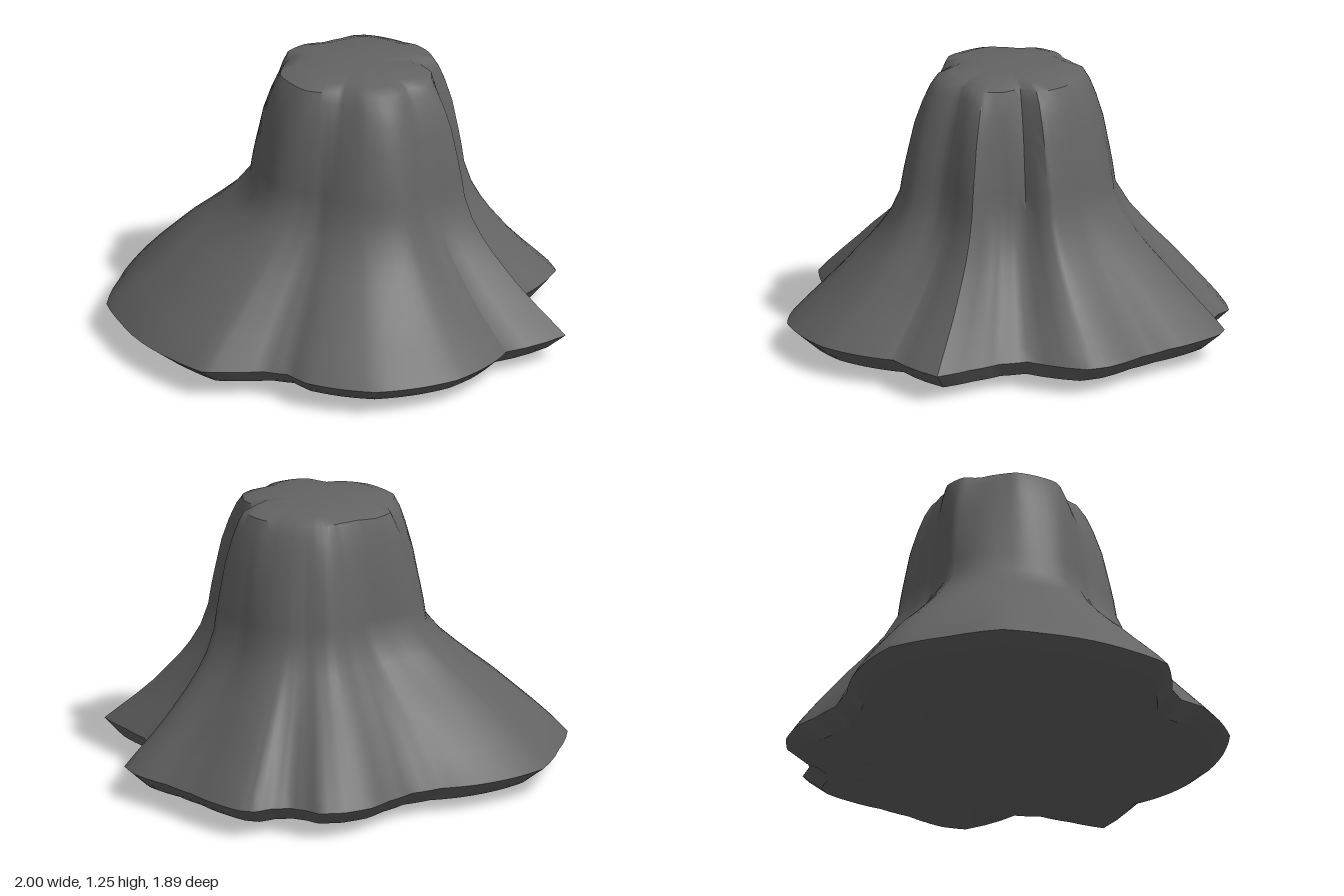
import * as THREE from 'three';
import { toCreasedNormals } from 'three/addons/utils/BufferGeometryUtils.js';

const CX = 0.08; // trunk axis

// outlines as x, z pairs, running from +x towards +z
const ROOTS = [
  0.81, 0, 0.9, 0.12, 1, 0.26, 0.77, 0.46, 0.76, 0.5, 0.69, 0.65, 0.6, 0.77, 0.45, 0.87,
  0.27, 0.94, 0.11, 0.93, -0.04, 0.89, -0.13, 0.815, -0.24, 0.8, -0.36, 0.825, -0.5, 0.84,
  -0.65, 0.73, -0.8, 0.58, -0.92, 0.39, -1, 0.22, -0.98, -0.03, -0.93, -0.29, -0.82, -0.41,
  -0.66, -0.52, -0.51, -0.575, -0.39, -0.65, -0.3, -0.76, -0.23, -0.86, -0.12, -0.93,
  -0.01, -0.95, 0.05, -0.91, 0.12, -0.885, 0.2, -0.9, 0.27, -0.945, 0.34, -0.93, 0.44, -0.85,
  0.56, -0.72, 0.67, -0.61, 0.82, -0.48, 0.87, -0.38, 0.77, -0.12,
];
const WAIST = [
  0.45, 0, 0.48, 0.06, 0.55, 0.14, 0.46, 0.21, 0.39, 0.28, 0.33, 0.41, 0.25, 0.45, 0.15, 0.46,
  0.05, 0.44, -0.05, 0.39, -0.13, 0.37, -0.26, 0.32, -0.35, 0.21, -0.39, 0.09, -0.41, -0.05,
  -0.37, -0.15, -0.27, -0.22, -0.18, -0.28, -0.1, -0.38, -0.03, -0.46, 0.08, -0.46,
  0.16, -0.46, 0.25, -0.43, 0.37, -0.33, 0.45, -0.26, 0.5, -0.21, 0.43, -0.09,
];
const CROWN = [
  0.38, 0, 0.39, 0.09, 0.36, 0.14, 0.3, 0.18, 0.27, 0.24, 0.2, 0.29, 0.13, 0.3, 0.07, 0.27,
  0.03, 0.25, -0.06, 0.27, -0.13, 0.26, -0.2, 0.2, -0.26, 0.12, -0.26, 0.05, -0.24, -0.05,
  -0.26, -0.12, -0.2, -0.2, -0.12, -0.23, -0.05, -0.28, 0, -0.32, 0.05, -0.33, 0.15, -0.31,
  0.22, -0.28, 0.28, -0.26, 0.34, -0.2, 0.37, -0.14, 0.32, -0.07,
];

// turns an outline into [angle, radius] pairs around the axis, closed at a full turn
function toPolar(outline) {
  const polar = [];
  for (let i = 0; i < outline.length; i += 2) {
    const x = outline[i] - CX, z = outline[i + 1];
    polar.push([(Math.atan2(z, x) + Math.PI * 2) % (Math.PI * 2), Math.hypot(x, z)]);
  }
  polar.push([Math.PI * 2, polar[0][1]]);
  return polar;
}

function radiusAt(polar, angle) {
  let i = 1;
  while (i < polar.length - 1 && polar[i][0] < angle) i++;
  const [a0, r0] = polar[i - 1], [a1, r1] = polar[i];
  return THREE.MathUtils.lerp(r0, r1, (angle - a0) / (a1 - a0));
}

export function createModel() {
  const [roots, waist, crown] = [ROOTS, WAIST, CROWN].map(toPolar);

  // columns follow the root outline so its corners stay sharp
  const angles = [];
  for (let i = 0; i < roots.length - 1; i++) {
    for (let k = 0; k < 3; k++) angles.push(THREE.MathUtils.lerp(roots[i][0], roots[i + 1][0], k / 3));
  }

  // each ring: height and a radius for every angle
  const rings = [];
  const ring = (y, radius) => rings.push({ y, radius });
  const mix = (lower, upper, blend) => (a) => THREE.MathUtils.lerp(radiusAt(lower, a), radiusAt(upper, a), blend);

  // shallow underside
  [[0, 0], [0.028, 0.5], [0.052, 0.91]].forEach(([y, s]) => ring(y, (a) => s * radiusAt(roots, a)));
  // flaring roots, fuller on the -x side and more hollow on the +x side
  [[0.125, 0], [0.18, 0.1], [0.25, 0.24], [0.33, 0.4], [0.4, 0.53], [0.46, 0.65], [0.52, 0.76], [0.6, 0.89], [0.7, 1]]
    .forEach(([y, b]) => {
      const flare = mix(roots, waist, b), lean = 4 * b * (1 - b);
      ring(y, (a) => flare(a) - lean * (0.04 * Math.cos(a) + 0.012 * Math.sin(a)));
    });
  // trunk
  [[0.78, 0.08], [0.85, 0.17], [1, 0.38], [1.1, 0.6], [1.17, 0.8], [1.217, 1]]
    .forEach(([y, b]) => ring(y, mix(waist, crown, b)));
  // cut top
  [[1.24, 0.8], [1.247, 0.4], [1.25, 0]].forEach(([y, s]) => ring(y, (a) => s * radiusAt(crown, a)));

  const positions = [], index = [], n = angles.length;
  rings.forEach(({ y, radius }, j) => {
    angles.forEach((a, i) => {
      const r = radius(a);
      positions.push(CX + r * Math.cos(a), y, r * Math.sin(a));
      if (j === rings.length - 1) return;
      const p = j * n + i, q = j * n + (i + 1) % n;
      if (j < rings.length - 2) index.push(p, p + n, q + n);
      if (j > 0) index.push(p, q + n, q);
    });
  });

  const geometry = new THREE.BufferGeometry();
  geometry.setAttribute('position', new THREE.Float32BufferAttribute(positions, 3));
  geometry.setIndex(index);

  const stump = new THREE.Mesh(
    toCreasedNormals(geometry, THREE.MathUtils.degToRad(42)),
    new THREE.MeshStandardMaterial({ color: 0x646464 }),
  );
  stump.name = 'treeStump';

  const model = new THREE.Group();
  model.name = 'stump';
  model.add(stump);
  return model;
}
